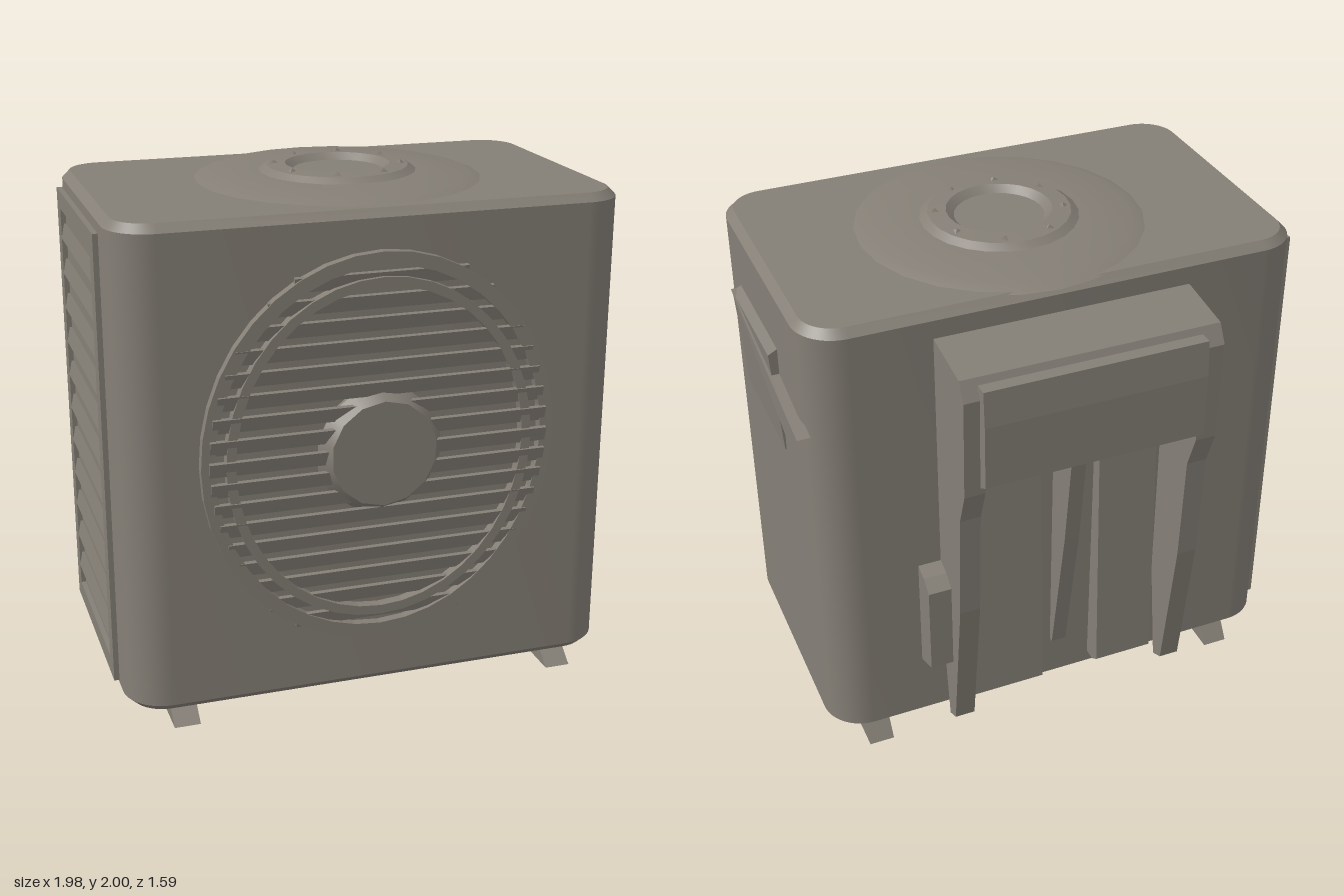
import * as THREE from 'three';
import { toCreasedNormals } from 'three/addons/utils/BufferGeometryUtils.js';

const casing = new THREE.MeshStandardMaterial({ color: 0x857f76, side: THREE.DoubleSide });
casing.name = 'casing grey';

function add(parent, name, geometry, x = 0, y = 0, z = 0) {
  const mesh = new THREE.Mesh(geometry, casing);
  mesh.name = name;
  mesh.position.set(x, y, z);
  parent.add(mesh);
  return mesh;
}

// Box given by its extents
function block(parent, name, x0, x1, y0, y1, z0, z1) {
  return add(parent, name, new THREE.BoxGeometry(x1 - x0, y1 - y0, z1 - z0),
    (x0 + x1) / 2, (y0 + y1) / 2, (z0 + z1) / 2);
}

// Side profile of [z, y] points, extruded across x
function sideProfile(parent, name, points, x0, x1) {
  const shape = new THREE.Shape(points.map(([z, y]) => new THREE.Vector2(-z, y)));
  const g = new THREE.ExtrudeGeometry(shape, { depth: x1 - x0, bevelEnabled: false });
  g.rotateY(Math.PI / 2).translate(x0, 0, 0);
  return add(parent, name, g);
}

function roundedRect(w, h, r) {
  const s = new THREE.Shape();
  const x = w / 2 - r, y = h / 2 - r;
  s.absarc(x, y, r, 0, Math.PI / 2);
  s.absarc(-x, y, r, Math.PI / 2, Math.PI);
  s.absarc(-x, -y, r, Math.PI, Math.PI * 1.5);
  s.absarc(x, -y, r, Math.PI * 1.5, Math.PI * 2);
  s.closePath();
  return s;
}

function ellipseRing(rx, ry, width, depth) {
  const s = new THREE.Shape().absellipse(0, 0, rx, ry, 0, Math.PI * 2);
  s.holes.push(new THREE.Path().absellipse(0, 0, rx - width, ry - width, 0, Math.PI * 2));
  return new THREE.ExtrudeGeometry(s, { depth, bevelEnabled: false, curveSegments: 20 });
}

function makeBody(root) {
  // Cabinet with round vertical corners and narrow chamfers above and below
  const b = 0.03;
  const g = new THREE.ExtrudeGeometry(roundedRect(1.92 - 2 * b, 1.16 - 2 * b, 0.13), {
    depth: 1.85 - 2 * b, bevelSize: b, bevelThickness: b, bevelSegments: 1, curveSegments: 6,
  });
  g.rotateX(-Math.PI / 2).translate(-0.01, 0.09 + b, 0.1);
  add(root, 'cabinet', toCreasedNormals(g, 0.6));

  // Two tapered feet running front to back
  for (const x of [-0.755, 0.765]) {
    sideProfile(root, 'foot', [[0.66, 0.01], [-0.48, 0], [-0.42, 0.09], [0.0, 0.05], [0.56, 0.09]], x - 0.05, x + 0.05);
  }
}

function makeFanGrille(root) {
  const grille = new THREE.Group();
  grille.name = 'fanGrille';
  grille.position.set(-0.03, 1.07, 0);
  root.add(grille);
  const rx = 0.67, ry = 0.74;
  add(grille, 'outerRing', ellipseRing(rx, ry, 0.05, 0.035), 0, 0, 0.725);
  add(grille, 'middleRing', ellipseRing(rx - 0.09, ry - 0.09, 0.035, 0.04), 0, 0, 0.725);

  // Horizontal slats, bulging slightly towards the middle
  for (let i = -8; i <= 8; i++) {
    const y = i * 0.08;
    const half = (rx - 0.03) * Math.sqrt(1 - (y / ry) ** 2);
    const z = 0.74 + 0.02 * (1 - Math.abs(i) / 8);
    const slat = add(grille, 'slat', new THREE.BoxGeometry(half * 2, 0.055, 0.015), 0, y, z);
    slat.rotation.x = 0.25;
  }

  // Hub plate and its mounting stem
  const hub = new THREE.CylinderGeometry(0.2, 0.24, 0.06, 14).rotateX(Math.PI / 2);
  add(grille, 'hub', hub, 0, 0, 0.76);
  const stem = new THREE.CylinderGeometry(0.2, 0.2, 0.1, 14).rotateX(Math.PI / 2);
  add(grille, 'hubStem', stem, -0.01, 0.02, 0.7);
}

function makeTopVent(root) {
  // Shallow stepped disc in the roof
  const profile = [[0.56, 1.935], [0.5, 1.957], [0.3, 1.965], [0.27, 1.985], [0.2, 1.99], [0.17, 1.965], [0, 1.965]]
    .map(([r, y]) => new THREE.Vector2(r, y));
  const vent = add(root, 'topVent', new THREE.LatheGeometry(profile, 24), 0.02, 0, 0.07);
  vent.geometry = toCreasedNormals(vent.geometry, 0.5);
  // Raised fins around the vent
  for (let i = 0; i < 8; i++) {
    const a = i * Math.PI / 4 + 0.3;
    const fin = add(root, 'ventFin', new THREE.ConeGeometry(0.05, 0.035, 3),
      0.02 + 0.24 * Math.cos(a), 1.982, 0.07 + 0.24 * Math.sin(a));
    fin.rotation.y = -a;
  }
}

function makeRearCover(root) {
  const cover = new THREE.Group();
  cover.name = 'rearCover';
  root.add(cover);

  // Tapered side walls
  const wall = [[-0.47, 1.84], [-0.72, 1.81], [-0.76, 1.74], [-0.75, 1.34], [-0.7, 1.2],
    [-0.68, 0.75], [-0.6, 0.14], [-0.54, 0.11], [-0.47, 0.6]];
  sideProfile(cover, 'coverWall', wall, -0.5, -0.42);
  sideProfile(cover, 'coverWall', wall, 0.41, 0.49);

  // Hood over the recess
  sideProfile(cover, 'coverHood', [[-0.47, 1.84], [-0.72, 1.81], [-0.76, 1.74], [-0.75, 1.36],
    [-0.71, 1.38], [-0.7, 1.72], [-0.47, 1.77]], -0.43, 0.42);
  sideProfile(cover, 'hoodPanel', [[-0.74, 1.79], [-0.79, 1.79], [-0.8, 1.65], [-0.8, 1.4],
    [-0.74, 1.36]], -0.42, 0.43);

  // Recessed panels and the rib between them
  const panel = [[-0.47, 1.4], [-0.52, 1.4], [-0.57, 0.2], [-0.53, 0.17], [-0.47, 0.17]];
  sideProfile(cover, 'innerPanel', panel, -0.38, -0.14);
  sideProfile(cover, 'innerPanel', panel, 0.1, 0.41);
  sideProfile(cover, 'centreRib', [[-0.47, 1.55], [-0.66, 1.42], [-0.6, 0.9], [-0.5, 0.3], [-0.47, 0.3]], -0.03, 0.03);

  // Valve housing beside the cover
  sideProfile(root, 'valveHousing', [[-0.47, 0.86], [-0.54, 0.84], [-0.59, 0.8], [-0.59, 0.43], [-0.47, 0.38]], 0.49, 0.58);
}

function makeSides(root) {
  // Coil guard on the right side
  const guard = new THREE.Group();
  guard.name = 'coilGuard';
  root.add(guard);
  block(guard, 'guardPost', -0.99, -0.96, 0.13, 1.87, 0.38, 0.45);
  block(guard, 'guardPost', -0.99, -0.96, 0.13, 1.87, -0.36, -0.29);
  block(guard, 'guardRail', -0.99, -0.96, 1.8, 1.87, -0.3, 0.4);
  block(guard, 'guardRail', -0.99, -0.96, 0.13, 0.2, -0.3, 0.4);
  for (let i = 0; i < 11; i++) {
    const slat = block(guard, 'guardSlat', -0.985, -0.975, 0.28 + i * 0.14, 0.34 + i * 0.14, -0.3, 0.4);
    slat.rotation.z = -0.2;
  }

  // Hand grip on the left side: a wedge that is widest at its top edge
  const s = new THREE.Shape([[0.93, 1.25], [0.955, 1.25], [0.985, 1.67], [0.93, 1.7]]
    .map(([x, y]) => new THREE.Vector2(x, y)));
  const grip = new THREE.ExtrudeGeometry(s, { depth: 0.5, bevelEnabled: false });
  add(root, 'handGrip', grip, 0, 0, -0.1);
  const lip = new THREE.Shape([[-0.4, 1.68], [0.28, 1.55], [0.44, 1.52], [0.3, 1.43]]
    .map(([z, y]) => new THREE.Vector2(z, y)));
  const lipGeo = new THREE.ExtrudeGeometry(lip, { depth: 0.05, bevelEnabled: false }).rotateY(Math.PI / 2);
  add(root, 'gripLip', lipGeo, 0.94, 0, 0);
}

export function createModel() {
  const root = new THREE.Group();
  root.name = 'outdoorFanUnit';
  makeBody(root);
  makeFanGrille(root);
  makeTopVent(root);
  makeRearCover(root);
  makeSides(root);
  return root;
}
